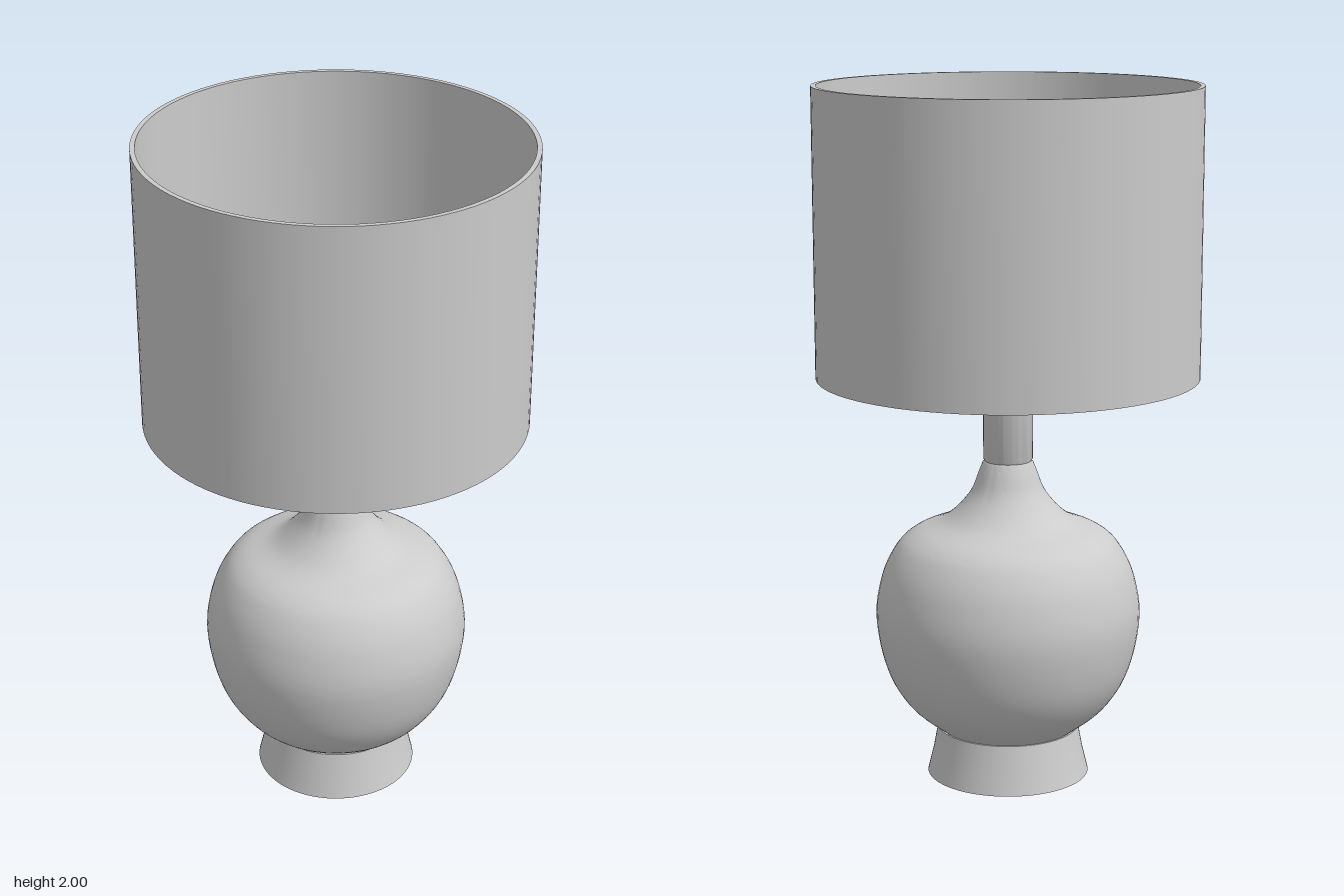
import * as THREE from 'three';
import { toCreasedNormals } from 'three/addons/utils/BufferGeometryUtils.js';

const material = new THREE.MeshStandardMaterial({ color: 0xcccccc });

// Revolves a list of [radius, height] points, bottom to top along the outside
function turned(name, profile, segments = 72) {
  const points = profile.map(([r, y]) => new THREE.Vector2(r, y));
  const geometry = toCreasedNormals(new THREE.LatheGeometry(points, segments), 0.7);
  const mesh = new THREE.Mesh(geometry, material);
  mesh.name = name;
  return mesh;
}

export function createModel() {
  const lamp = new THREE.Group();
  lamp.name = 'tableLamp';

  // Flared foot with a closed underside
  lamp.add(turned('foot', [[0, 0], [0.235, 0], [0.218, 0.07], [0.205, 0.14], [0, 0.14]]));

  // Round body flowing into a narrow neck
  const outline = new THREE.SplineCurve([
    [0.2, 0.14], [0.29, 0.215], [0.352, 0.32], [0.382, 0.47], [0.365, 0.59],
    [0.325, 0.675], [0.275, 0.722], [0.18, 0.765], [0.112, 0.835], [0.082, 0.905], [0.073, 0.928],
  ].map(([r, y]) => new THREE.Vector2(r, y)));
  const body = outline.getPoints(60).map((p) => [p.x, p.y]);
  lamp.add(turned('body', [[0, 0.14], ...body, [0.064, 0.936], [0, 0.936]]));

  // Stem between body and socket
  lamp.add(turned('stem', [[0, 0.93], [0.066, 0.93], [0.071, 0.94], [0.071, 1.3], [0, 1.3]]));

  // Socket: collar, groove and an open cup with a rounded floor
  lamp.add(turned('socket', [
    [0, 1.265], [0.085, 1.265], [0.096, 1.28], [0.096, 1.325], [0.086, 1.335],
    [0.086, 1.355], [0.097, 1.365], [0.097, 1.4], [0.088, 1.41], [0.088, 1.42], [0.098, 1.43],
    [0.098, 1.52], [0.092, 1.52], [0.092, 1.46], [0.08, 1.43], [0.055, 1.41], [0.028, 1.4], [0, 1.397],
  ]));

  // Four spokes carrying the shade
  const spokes = new THREE.Group();
  spokes.name = 'shadeSpokes';
  const inner = 0.08, outer = 0.537;
  const rod = new THREE.CylinderGeometry(0.006, 0.006, outer - inner, 12);
  rod.rotateZ(Math.PI / 2).translate((inner + outer) / 2, 1.34, 0);
  for (let i = 0; i < 4; i++) {
    const spoke = new THREE.Mesh(rod, material);
    spoke.name = 'spoke';
    spoke.rotation.y = (i * Math.PI) / 2;
    spokes.add(spoke);
  }
  lamp.add(spokes);

  // Thin drum shade, open at both ends
  lamp.add(turned('shade', [
    [0.532, 1.18], [0.546, 1.18], [0.546, 2], [0.532, 2], [0.532, 1.18],
  ], 96));

  return lamp;
}
